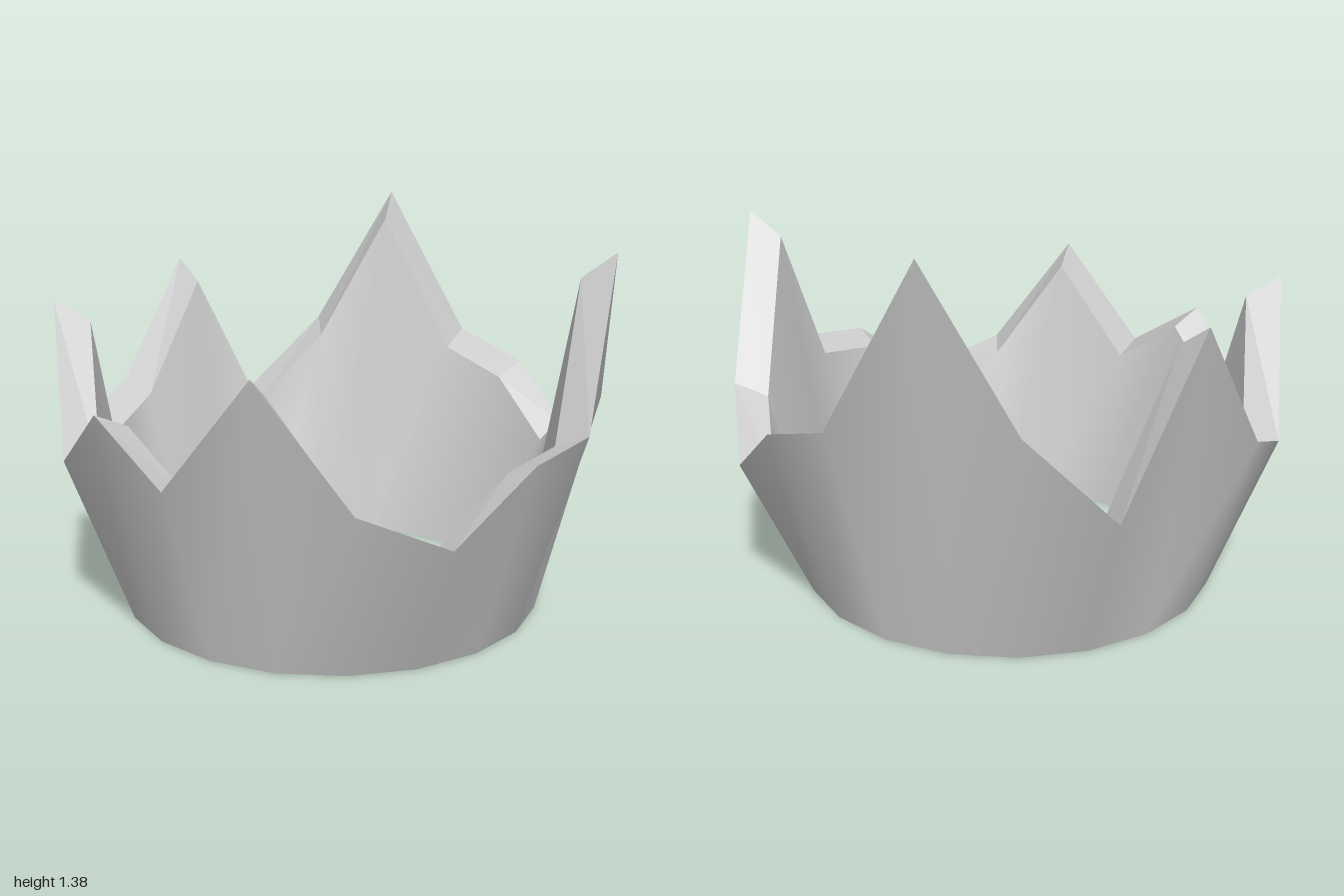
import * as THREE from 'three';

// Rim height of each column, counted from the front towards +x
const HEIGHTS = [
  0.64, 1.02, 0.61, 0.48, 0.70, 0.73, 1.29, 0.72, 0.52, 0.73,
  0.82, 1.38, 0.85, 0.55, 1.13, 0.68, 0.58, 1.10, 0.60, 0.83,
];
const N = HEIGHTS.length;

// Closed loop of points; heightScale 0 gives a flat loop on the ground
function loop(radius, zOffset, heightScale, backBulge = 0) {
  return HEIGHTS.map((h, i) => {
    const a = (i / N) * Math.PI * 2;
    const r = radius + (i === N / 2 ? backBulge : 0);
    return [r * Math.sin(a), h * heightScale, r * Math.cos(a) + zOffset];
  });
}

// Strip of quads joining two loops, smooth or faceted
function band(name, from, to, smooth, material) {
  const index = [];
  for (let i = 0; i < N; i++) {
    const j = (i + 1) % N;
    index.push(i, j, N + j, i, N + j, N + i);
  }
  let geometry = new THREE.BufferGeometry();
  geometry.setAttribute('position', new THREE.Float32BufferAttribute([...from, ...to].flat(), 3));
  geometry.setIndex(index);
  if (!smooth) geometry = geometry.toNonIndexed();
  geometry.computeVertexNormals();
  const mesh = new THREE.Mesh(geometry, material);
  mesh.name = name;
  return mesh;
}

export function createModel() {
  const group = new THREE.Group();
  group.name = 'crown';
  const material = new THREE.MeshStandardMaterial({ color: 0xcccccc });

  // Four loops of the flared, thick-walled ring
  const outerBottom = loop(0.75, 0.02, 0);
  const outerTop = loop(0.98, 0.01, 1, 0.03);
  const innerTop = loop(0.86, 0.005, 0.93, 0.015);
  const innerBottom = loop(0.685, 0.015, 0);

  group.add(
    band('outerWall', outerBottom, outerTop, true, material),
    band('jaggedRim', outerTop, innerTop, false, material),
    band('innerWall', innerTop, innerBottom, true, material),
    band('bottomRim', innerBottom, outerBottom, false, material),
  );
  return group;
}
